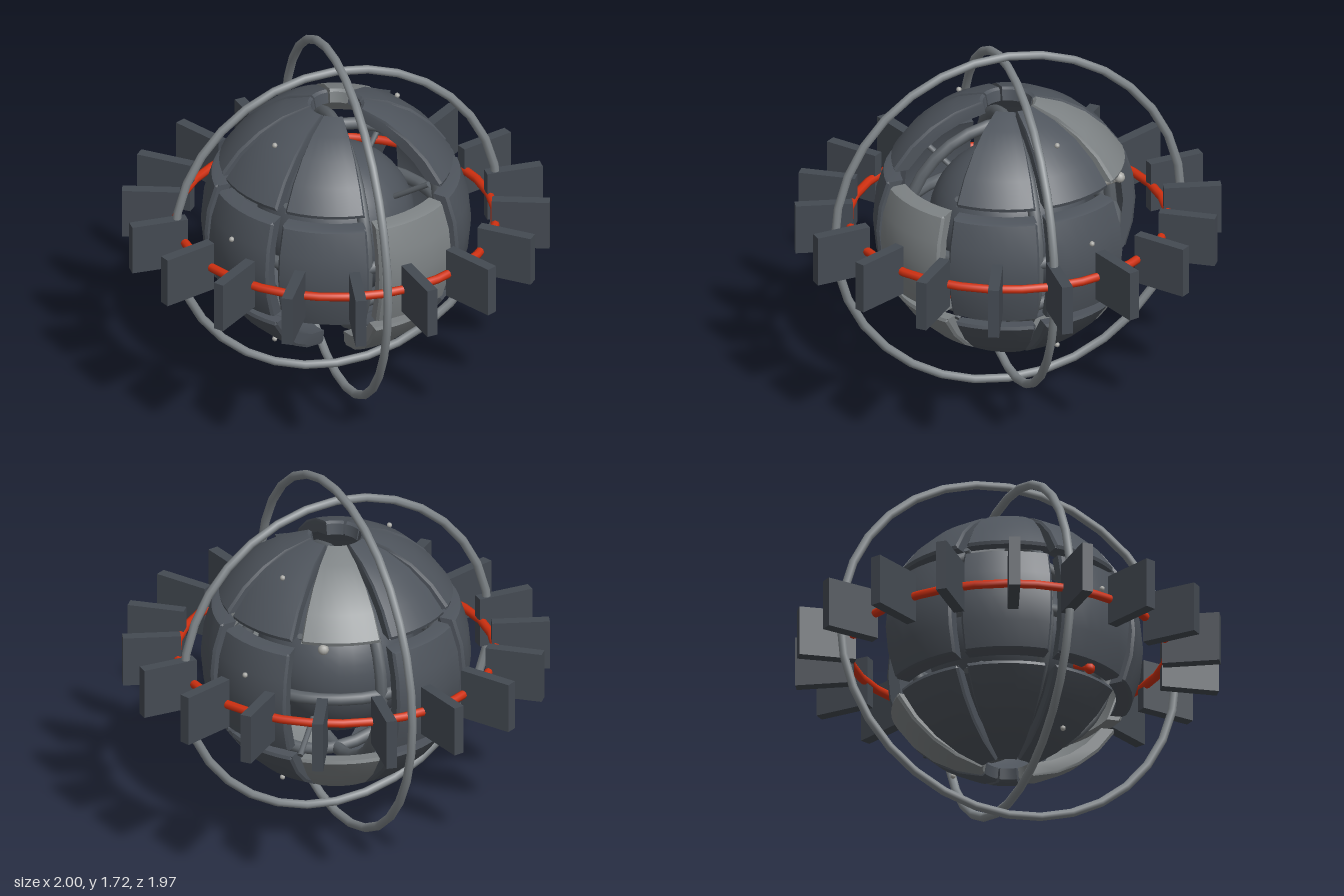
import * as THREE from 'three';
import { toCreasedNormals } from 'three/addons/utils/BufferGeometryUtils.js';

const CY = 0.862, R_OUT = 0.63, R_IN = 0.565;
const rad = THREE.MathUtils.degToRad;
const paint = (color) => new THREE.MeshStandardMaterial({ color });

// Curved, chamfered armour plate between two latitudes and two azimuths (radians)
function plateGeometry(lo, hi, a0, a1) {
  const c = 0.012, d = c / R_OUT, latSteps = 4, azSteps = 6;
  const lats = [lo];
  for (let i = 0; i <= latSteps; i++) lats.push(lo + d + (hi - lo - 2 * d) * i / latSteps);
  lats.push(hi);
  const n = lats.length;
  // edges near the equator are cut level, edges near the poles are cut radially
  const cut = (t) => Math.abs(t) < 1 ? Math.asin(Math.sin(t) * R_OUT / R_IN) : t;
  const iLo = cut(lo), iHi = cut(hi);

  const azimuths = [a0];
  for (let i = 0; i <= azSteps; i++) azimuths.push(a0 + d + (a1 - a0 - 2 * d) * i / azSteps);
  azimuths.push(a1);
  const pos = [], idx = [];
  azimuths.forEach((a, s) => {
    const endSlice = s === 0 || s === azimuths.length - 1;
    const add = (r, t) => pos.push(r * Math.cos(t) * Math.cos(a), r * Math.sin(t), r * Math.cos(t) * Math.sin(a));
    lats.forEach((t, i) => add(endSlice || i === 0 || i === n - 1 ? R_OUT - c : R_OUT, t));
    for (let i = n - 1; i >= 0; i--) add(R_IN, iLo + (iHi - iLo) * (lats[i] - lo) / (hi - lo));
  });
  const m = 2 * n, last = (azimuths.length - 1) * m;
  for (let s = 0; s < azimuths.length - 1; s++) {
    for (let i = 0; i < m; i++) {
      const j = (i + 1) % m, p = s * m, q = p + m;
      idx.push(p + i, p + j, q + j, p + i, q + j, q + i);
    }
  }
  // end caps
  for (let i = 0; i < n - 1; i++) {
    const o = i, o2 = i + 1, k = m - 1 - i, k2 = m - 2 - i;
    idx.push(o, k, o2, o2, k, k2);
    idx.push(last + o, last + o2, last + k, last + o2, last + k2, last + k);
  }
  const g = new THREE.BufferGeometry();
  g.setAttribute('position', new THREE.Float32BufferAttribute(pos, 3));
  g.setIndex(idx);
  return toCreasedNormals(g, 0.5);
}

export function createModel() {
  const model = new THREE.Group();
  model.name = 'armouredSphere';
  const body = new THREE.Group();
  body.name = 'body';
  body.position.y = CY;
  model.add(body);

  const dark = paint(0x4e545c), light = paint(0x7d8284), tube = paint(0x80868a);
  const inner = paint(0x5c6268), finMat = paint(0x444a52), red = paint(0xd03010), metal = paint(0xa8a8a4);

  const add = (name, geometry, material, parent = body) => {
    const mesh = new THREE.Mesh(geometry, material);
    mesh.name = name;
    parent.add(mesh);
    return mesh;
  };

  // Core
  add('core', new THREE.SphereGeometry(0.37, 32, 24), dark);

  // Three rows of eight plates, one plate left out of each row
  const rows = [
    { name: 'upperPlate', lo: 29, hi: 79, missing: 1 },
    { name: 'middlePlate', lo: -23.9, hi: 23.9, missing: 6 },
    { name: 'lowerPlate', lo: -79, hi: -29, missing: 2 },
  ];
  for (const row of rows) {
    for (let k = 0; k < 8; k++) {
      if (k === row.missing) continue;
      const g = plateGeometry(rad(row.lo), rad(row.hi), rad(k * 45 + 2.3), rad(k * 45 + 42.7));
      add(row.name, g, k === 1 || k === 6 ? light : dark);
    }
  }

  // Rings: three inside the shell, two outer hoops, one red belt
  const ring = (name, radius, thickness, plane, material) => {
    const g = new THREE.TorusGeometry(radius, thickness, 8, 32);
    if (plane === 'yz') g.rotateY(Math.PI / 2);
    if (plane === 'xz') g.rotateX(Math.PI / 2);
    add(name, g, material);
  };
  for (const plane of ['xy', 'yz', 'xz']) ring('innerRing', 0.5, 0.03, plane, inner);
  ring('sideHoop', 0.785, 0.021, 'xy', tube);
  ring('frontHoop', 0.84, 0.021, 'yz', tube);
  ring('belt', 0.745, 0.021, 'xz', red);

  // Fins around the belt
  for (let k = 0; k < 18; k++) {
    const g = new THREE.BoxGeometry(0.27, 0.245, 0.052);
    g.translate(0.863, 0, 0).rotateY(rad(k * 20));
    add('fin', g, finMat);
  }

  // Radial rod between two distances from the centre
  const rod = (name, dir, from, to, radius, material) => {
    const mesh = add(name, new THREE.CylinderGeometry(radius, radius, to - from, 8), material);
    mesh.position.copy(dir).multiplyScalar((from + to) / 2);
    mesh.quaternion.setFromUnitVectors(new THREE.Vector3(0, 1, 0), dir);
  };

  // Struts holding the plates on the core
  for (const x of [-1, 1]) for (const y of [-1, 1]) for (const z of [-1, 1]) {
    rod('strut', new THREE.Vector3(x, 0.9 * y, z).normalize(), 0.36, 0.58, 0.014, inner);
  }

  // Knobs on short stems in the plate gaps
  const knobs = [[0.28, 0.28, -0.46, metal], [0.42, -0.14, 0.42, red], [-0.5, -0.27, 0.21, red]];
  for (const [x, y, z, material] of knobs) {
    const p = new THREE.Vector3(x, y, z), length = p.length();
    add('knob', new THREE.SphereGeometry(0.026, 12, 8), material).position.copy(p);
    rod('knobStem', p.normalize(), 0.5, length, 0.016, material);
  }

  // Small rivets on the plates
  const rivets = [[0.34, 0.52, -0.14], [0.34, -0.52, -0.14], [0.58, 0.11, -0.24]];
  for (const [x, y, z] of rivets) for (const s of [-1, 1]) {
    add('rivet', new THREE.SphereGeometry(0.013, 8, 6), metal).position.set(s * x, y, s * z);
  }

  return model;
}
